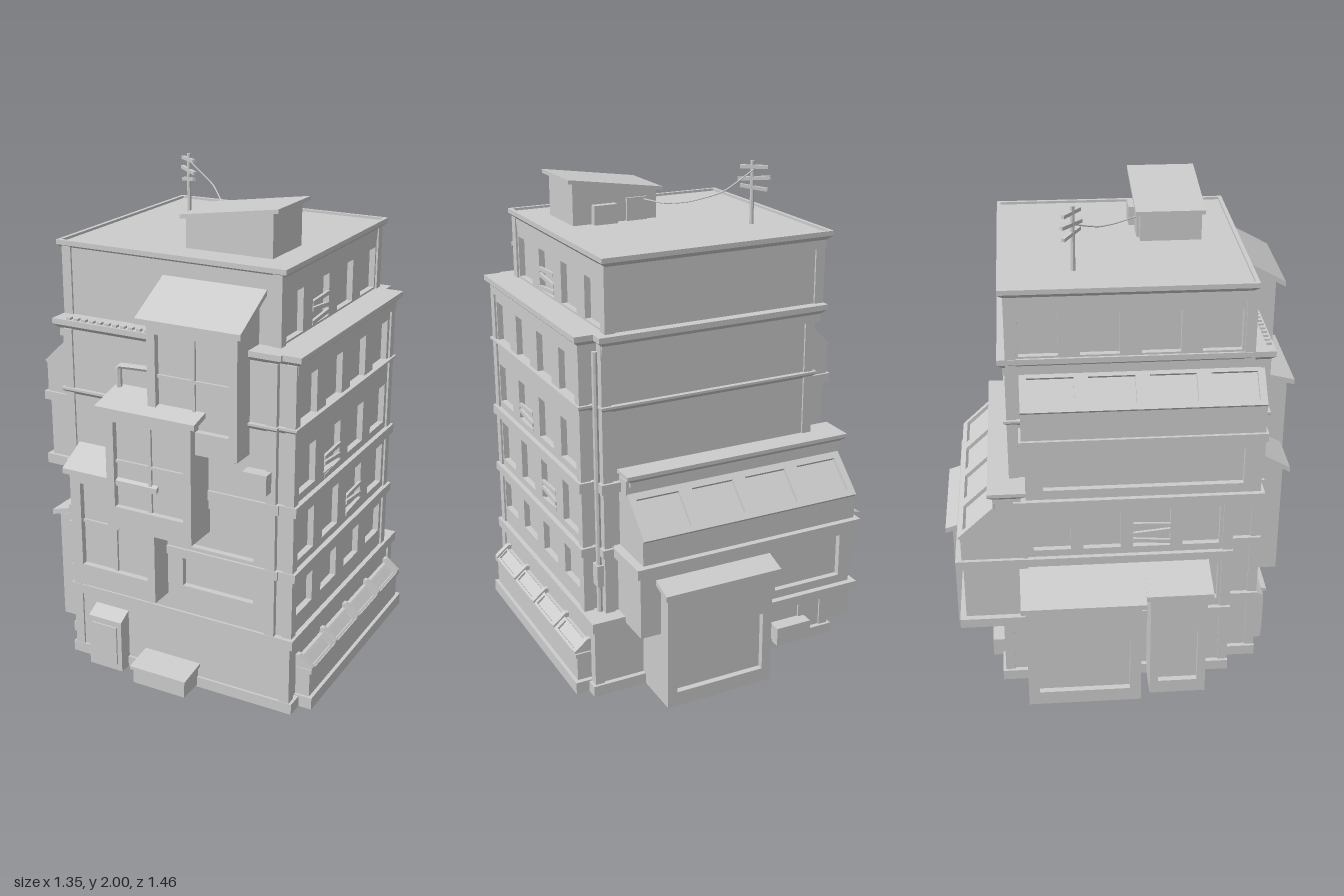
import * as THREE from 'three';

const mat = new THREE.MeshStandardMaterial({ color: 0xcccccc, flatShading: true, side: THREE.DoubleSide });
const TURN = { pz: 0, px: Math.PI / 2, nx: -Math.PI / 2, nz: Math.PI };
const SIGN = { pz: 1, px: -1, nx: 1, nz: -1 }; // local u to world axis along each face
const T = 0.025; // facade thickness

export function createModel() {
  const root = new THREE.Group();
  root.name = 'building';

  const add = (name, geo) => {
    const m = new THREE.Mesh(geo, mat);
    m.name = name;
    root.add(m);
    return m;
  };
  // box whose underside may be drawn in by `taper`
  const box = (name, x0, x1, y0, y1, z0, z1, taper = 0) => {
    const g = new THREE.BoxGeometry(x1 - x0, y1 - y0, z1 - z0), p = g.attributes.position;
    for (let i = 0; i < p.count; i++) if (p.getY(i) < 0) {
      p.setX(i, p.getX(i) - Math.sign(p.getX(i)) * taper);
      p.setZ(i, p.getZ(i) - Math.sign(p.getZ(i)) * taper);
    }
    const m = add(name, g);
    m.position.set((x0 + x1) / 2, (y0 + y1) / 2, (z0 + z1) / 2);
  };
  const rect = (C, x0, x1, y0, y1) => new C([[x0, y0], [x1, y0], [x1, y1], [x0, y1]].map(p => new THREE.Vector2(...p)));
  const plate = (r, holes, depth) => {
    const s = rect(THREE.Shape, ...r);
    holes.forEach(h => s.holes.push(rect(THREE.Path, ...h)));
    return new THREE.ExtrudeGeometry(s, { depth, bevelEnabled: false });
  };
  // flat facade with openings, its outer surface at distance d from the centre
  const wall = (name, face, d, a0, a1, y0, y1, holes = []) => {
    const flip = ([p, q, ...r]) => (SIGN[face] > 0 ? [p, q, ...r] : [-q, -p, ...r]);
    const g = plate(flip([a0, a1, y0, y1]), holes.map(flip), T).translate(0, 0, d - T);
    add(name, g.rotateY(TURN[face]));
  };
  // (outward, y) profile swept along a face from a0 to a1
  const prism = (name, face, a0, a1, pts) => {
    const L = a1 - a0;
    const g = new THREE.ExtrudeGeometry(new THREE.Shape(pts.map(p => new THREE.Vector2(...p))), { depth: L, bevelEnabled: false });
    g.rotateY(-Math.PI / 2).translate(L / 2 + (SIGN[face] * (a0 + a1)) / 2, 0, 0);
    add(name, g.rotateY(TURN[face]));
  };
  // horizontal ring, open in the middle
  const ring = (name, x0, x1, y0, y1, z0, z1, m) =>
    add(name, plate([x0, x1, -z1, -z0], [[x0 + m, x1 - m, -z1 + m, -z0 - m]], y1 - y0).rotateX(-Math.PI / 2).translate(0, y0, 0));

  const windows = (c, y0, y1, step = 0.232) => [0, 1, 2, 3].map(i => {
    const a = c + (i - 1.5) * step;
    return [a - 0.075, a + 0.075, y0, y1];
  });

  // one storey: inner core, four facades and corner pilasters
  const storey = (name, [x0, x1, y0, y1, z0, z1], holes = {}, hollow = false) => {
    if (hollow) ring(name + 'Core', x0 + T, x1 - T, y0, y1, z0 + T, z1 - T, 0.08);
    else box(name + 'Core', x0 + T, x1 - T, y0, y1, z0 + T, z1 - T);
    wall(name + 'Front', 'pz', z1, x0, x1, y0, y1, holes.pz);
    wall(name + 'Back', 'nz', -z0, x0, x1, y0, y1, holes.nz);
    wall(name + 'LeftSide', 'px', x1, z0, z1, y0, y1, holes.px);
    wall(name + 'RightSide', 'nx', -x0, z0, z1, y0, y1, holes.nx);
    for (const x of [x0, x1]) for (const z of [z0, z1]) {
      const cx = x === x0 ? x + 0.012 : x - 0.012, cz = z === z0 ? z + 0.012 : z - 0.012;
      box(name + 'Pilaster', cx - 0.02, cx + 0.02, y0, y1, cz - 0.02, cz + 0.02);
    }
  };
  // storey with a projecting window front on the left, leaving notched corners
  const notchedStorey = (name, y0, y1, px, pz, hollow) => {
    storey(name, [-0.38, 0.525, y0, y1, -0.435, 0.57], { pz }, hollow);
    storey(name + 'WindowFront', [0.47, 0.595, y0, y1, -0.385, 0.557], { px });
  };
  storey('ground', [-0.38, 0.595, 0, 0.3, -0.48, 0.57], {}, true);
  notchedStorey('first', 0.3, 0.59, windows(0.092, 0.4, 0.53), [[0.13, 0.44, 0.44, 0.56]], true);
  notchedStorey('second', 0.59, 0.86, windows(0.092, 0.635, 0.81), [[0.13, 0.44, 0.62, 0.8]]);
  notchedStorey('third', 0.86, 1.13, windows(0.092, 0.91, 1.08));
  notchedStorey('fourth', 1.13, 1.43, windows(0.092, 1.19, 1.36));
  storey('top', [-0.42, 0.505, 1.43, 1.735, -0.43, 0.5],
    { px: windows(0.035, 1.475, 1.645), nx: windows(0.035, 1.475, 1.645) });

  // shallow right-hand wing, set back from the front corner
  storey('groundWing', [-0.47, -0.34, 0, 0.3, -0.48, 0.44]);
  storey('firstWing', [-0.47, -0.34, 0.3, 0.59, -0.41, 0.44], { nx: windows(0.02, 0.36, 0.53, 0.2) });
  storey('secondWing', [-0.47, -0.34, 0.59, 0.86, -0.41, 0.44], { nx: windows(0.02, 0.635, 0.81, 0.2) });

  // string courses and cornices between the storeys
  const band = (name, x0, x1, y0, y1, z0, z1, hollow) => {
    const f = hollow ? (...a) => ring(...a, 0.1) : box;
    f(name, x0 - 0.02, x1 + 0.02, y0, y1, z0 - 0.02, z1 + 0.015);
  };
  // moulding: flat band, slanted cove, thin slab
  const cornice = (name, x0, x1, z0, z1, yBase, yCove, yTop) => {
    box(name + 'Base', x0 + 0.02, x1 - 0.02, yBase, yCove, z0 + 0.02, z1 - 0.02);
    box(name + 'Cove', x0, x1, yCove, yCove + 0.018, z0, z1, 0.02);
    box(name + 'Slab', x0, x1, yCove + 0.018, yTop, z0, z1);
  };
  band('plinth', -0.38, 0.595, 0, 0.045, -0.48, 0.565, true);
  band('band', -0.38, 0.595, 0.285, 0.325, -0.48, 0.565, true);
  [[0.57, 0.605], [0.84, 0.88]].forEach(([y0, y1], i) => {
    band('band', -0.38, 0.525, y0, y1, -0.435, 0.565, i === 0);
    band('windowFrontBand', 0.49, 0.595, y0, y1, -0.385, 0.555);
  });
  band('wingPlinth', -0.47, -0.36, 0, 0.045, -0.48, 0.435);
  band('wingBand', -0.47, -0.36, 0.285, 0.325, -0.48, 0.435);
  band('wingBand', -0.47, -0.36, 0.57, 0.605, -0.41, 0.435);
  cornice('middleCornice', -0.4, 0.54, -0.455, 0.588, 1.115, 1.163, 1.19);
  cornice('middleFrontCornice', 0.45, 0.612, -0.405, 0.575, 1.115, 1.163, 1.19);
  cornice('upperCornice', -0.43, 0.55, -0.47, 0.588, 1.395, 1.427, 1.467);
  cornice('upperFrontCornice', 0.45, 0.625, -0.415, 0.575, 1.395, 1.427, 1.467);
  for (let i = 0; i < 12; i++) box('dentil', -0.37 + i * 0.035, -0.352 + i * 0.035, 1.467, 1.476, 0.56, 0.58);
  cornice('roofCornice', -0.452, 0.528, -0.458, 0.508, 1.685, 1.72, 1.747);
  ring('parapet', -0.452, 0.528, 1.747, 1.757, -0.458, 0.508, 0.016);
  // rain pipe in the notched corner
  add('rainPipe', new THREE.CylinderGeometry(0.012, 0.012, 1.1, 8)).position.set(0.545, 0.85, -0.41);

  // sloping row of four windows lying on a lean-to, from (d0,y0) up to (d1,y1)
  const skylight = (name, face, a0, a1, [d0, y0], [d1, y1]) => {
    const L = a1 - a0, S = Math.hypot(d1 - d0, y1 - y0), w = L / 4, e = S * 0.14;
    const holes = [0, 1, 2, 3].map(i => [-L / 2 + i * w + 0.028, -L / 2 + (i + 1) * w - 0.028, e, S - e]);
    const g = plate([-L / 2, L / 2, 0, S], holes, 0.015);
    g.rotateX(Math.atan2(d1 - d0, y1 - y0)).translate((SIGN[face] * (a0 + a1)) / 2, y0, d0);
    add(name, g.rotateY(TURN[face]));
  };

  // back extension with skylight, over a panelled storey beside the shed
  box('backBayCore', -0.47, 0.475, 0.3, 0.6, -0.615, -0.4);
  wall('backBayWall', 'nz', 0.64, -0.47, 0.475, 0.3, 0.6, [[-0.42, -0.12, 0.36, 0.54]]);
  box('backBaySill', -0.495, 0.1, 0.285, 0.325, -0.665, -0.4);
  box('backBayBand', -0.495, 0.5, 0.57, 0.61, -0.67, -0.4);
  prism('backLeanTo', 'nz', -0.48, 0.465, [[0.4, 0.6], [0.645, 0.6], [0.645, 0.705], [0.5, 0.84], [0.5, 0.9], [0.4, 0.9]]);
  skylight('backSkylight', 'nz', -0.48, 0.465, [0.645, 0.705], [0.5, 0.84]);
  cornice('backCornice', -0.508, 0.472, -0.53, -0.38, 0.875, 0.895, 0.928);

  // right-hand extension with the same arrangement
  box('sideBayCore', -0.455, -0.35, 0.87, 1.13, -0.38, 0.55);
  wall('sideBayWall', 'nx', 0.48, -0.38, 0.55, 0.87, 1.13, [[-0.31, 0.48, 0.92, 1.08]]);
  box('sideBaySill', -0.5, -0.36, 0.84, 0.88, -0.43, 0.565);
  box('sideBayBand', -0.5, -0.36, 1.115, 1.15, -0.4, 0.565);
  prism('sideLeanTo', 'nx', -0.39, 0.555, [[0.35, 1.14], [0.487, 1.14], [0.487, 1.265], [0.35, 1.395]]);
  skylight('sideSkylight', 'nx', -0.39, 0.555, [0.487, 1.265], [0.37, 1.376]);

  // street-level gallery on the left-hand side
  prism('gallery', 'px', -0.43, 0.5, [[0.58, 0], [0.655, 0], [0.655, 0.165], [0.61, 0.205], [0.58, 0.205]]);
  skylight('gallerySkylight', 'px', -0.43, 0.5, [0.652, 0.16], [0.605, 0.2]);
  box('gallerySill', 0.58, 0.67, 0, 0.05, -0.45, 0.51);
  box('galleryLedge', 0.6, 0.665, 0.155, 0.172, -0.44, 0.505);
  for (let i = 0; i < 5; i++) {
    const z = 0.49 - i * 0.2275;
    prism('galleryRib', 'px', z - 0.012, z + 0.012, [[0.59, 0.16], [0.665, 0.16], [0.665, 0.18], [0.61, 0.225], [0.59, 0.225]]);
  }

  // front oriel windows with tilted awnings
  const oriel = (x0, x1, y0, y1, d, back, yTop, dOut) => {
    box('orielBody', x0, x1, y0, y1, back, d - T);
    wall('orielFrame', 'pz', d, x0, x1, y0, y1, [[x0 + 0.035, x1 - 0.035, y0 + 0.09, y1 - 0.05]]);
    const mid = (x0 + x1) / 2, sill = y0 + (y1 - y0) * 0.55;
    box('orielMullion', mid - 0.006, mid + 0.006, y0 + 0.09, y1 - 0.05, d - T, d - 0.015);
    box('orielTransom', x0 + 0.03, x1 - 0.03, sill, sill + 0.012, d - T, d - 0.015);
    prism('awning', 'pz', x0 - 0.027, x1 + 0.03, [[back, yTop - 0.02], [dOut, y1 - 0.01], [dOut, y1 + 0.012], [back, yTop]]);
    prism('awningCheek', 'pz', x0, x1, [[back, y1 - 0.01], [d, y1 - 0.01], [d, y1 + 0.005], [back, yTop - 0.01]]);
    for (const x of [x0 + 0.03, x1 - 0.03]) box('orielBracket', x - 0.01, x + 0.01, y0 - 0.015, y0, d - 0.05, d - 0.02);
  };
  oriel(0.045, 0.42, 1.06, 1.55, 0.67, 0.49, 1.68, 0.705);
  oriel(-0.125, 0.247, 0.7, 1.19, 0.705, 0.56, 1.245, 0.73);
  oriel(-0.31, 0.062, 0.39, 0.885, 0.67, 0.56, 0.97, 0.695);

  // lean-to sheds
  const shed = (name, face, a0, a1, dIn, dWall, dRoof, yIn, yOut, hole) => {
    prism(name + 'Body', face, a0 + 0.02, a1 - 0.02, [[dIn, 0], [dWall - T, 0], [dWall - T, yOut], [dIn, yIn - 0.02]]);
    wall(name + 'Wall', face, dWall, a0 + 0.02, a1 - 0.02, 0, yOut, [hole]);
    prism(name + 'Roof', face, a0, a1, [[dIn, yIn - 0.02], [dRoof, yOut - 0.005], [dRoof, yOut + 0.018], [dIn, yIn]]);
  };
  shed('backShed', 'nz', -0.09, 0.41, 0.41, 0.7, 0.73, 0.61, 0.49, [-0.03, 0.35, 0.06, 0.31]);
  shed('sideShed', 'nx', -0.415, 0.085, 0.46, 0.655, 0.676, 0.56, 0.475, [-0.35, 0.02, 0.06, 0.31]);
  shed('smallSideShed', 'nx', 0.085, 0.355, 0.46, 0.62, 0.645, 0.56, 0.49, [0.14, 0.3, 0.06, 0.31]);

  // front kiosk, bin and small wall units
  prism('kiosk', 'pz', -0.285, -0.13, [[0.56, 0], [0.63, 0], [0.63, 0.225], [0.57, 0.255], [0.56, 0.255]]);
  box('kioskDoor', -0.265, -0.15, 0.03, 0.2, 0.62, 0.637);
  prism('bin', 'pz', -0.04, 0.195, [[0.57, 0.008], [0.685, 0.008], [0.685, 0.075], [0.57, 0.095]]);
  prism('binLid', 'pz', -0.05, 0.205, [[0.57, 0.09], [0.695, 0.072], [0.695, 0.086], [0.57, 0.104]]);
  box('wallUnit', 0.415, 0.515, 0.93, 1.01, 0.56, 0.62);
  box('backWallUnit', -0.36, -0.2, 0.03, 0.11, -0.54, -0.47);
  box('sideUnit', 0.52, 0.56, 0.44, 0.53, -0.43, -0.38);

  // loose boards over broken windows
  const boards = (x, y, z) => [-0.04, 0, 0.035].forEach((dy, i) => {
    const m = add('board', new THREE.BoxGeometry(0.012, 0.016, 0.15));
    m.position.set(x, y + dy, z);
    m.rotation.x = [0.08, -0.1, 0.04][i];
  });
  boards(0.502, 1.53, 0.15);
  boards(0.592, 0.94, 0.2);
  boards(0.592, 0.68, -0.03);
  boards(-0.468, 0.7, 0.12);

  // rooftop hut with a single-pitch roof
  const pitch = (name, x0, x1, y0, y1, z0, z1, b0, b1) => {
    const s = new THREE.Shape([[x0, b0], [x1, b1], [x1, y1], [x0, y0]].map(p => new THREE.Vector2(...p)));
    add(name, new THREE.ExtrudeGeometry(s, { depth: z1 - z0, bevelEnabled: false }).translate(0, 0, z0));
  };
  pitch('hutBody', 0.035, 0.4, 1.865, 1.922, 0.11, 0.355, 1.74, 1.74);
  pitch('hutRoof', 0.015, 0.425, 1.875, 1.935, 0.09, 0.367, 1.859, 1.919);
  box('hutUnit', 0.22, 0.32, 1.745, 1.825, 0.08, 0.12);
  box('hutDoor', 0.08, 0.17, 1.745, 1.84, 0.1, 0.115);

  // utility pole with tilted crossbars and a slack cable
  add('pole', new THREE.CylinderGeometry(0.008, 0.009, 0.26, 8)).position.set(-0.25, 1.87, -0.17);
  [[1.975, 0.0, 0.11], [1.93, -0.06, 0.13], [1.893, 0.14, 0.11]].forEach(([y, tilt, len]) => {
    const bar = add('crossbar', new THREE.BoxGeometry(len, 0.014, 0.014));
    bar.position.set(-0.255, y, -0.175);
    bar.rotation.set(0, -0.64, tilt);
  });
  // tubes for the cable and a facade pipe
  const tube = (name, pts, r, tension) => add(name, new THREE.TubeGeometry(
    new THREE.CatmullRomCurve3(pts.map(p => new THREE.Vector3(...p)), false, 'catmullrom', tension), 24, r, 6));
  tube('cable', [[-0.25, 1.965, -0.18], [-0.13, 1.885, -0.155], [-0.035, 1.838, -0.06], [0.04, 1.823, 0.015], [0.1, 1.83, 0.11]], 0.003, 0.3);
  tube('pipe', [[-0.13, 1.2, 0.585], [-0.13, 1.32, 0.585], [0.05, 1.33, 0.585]], 0.012, 0.1);
  return root;
}
